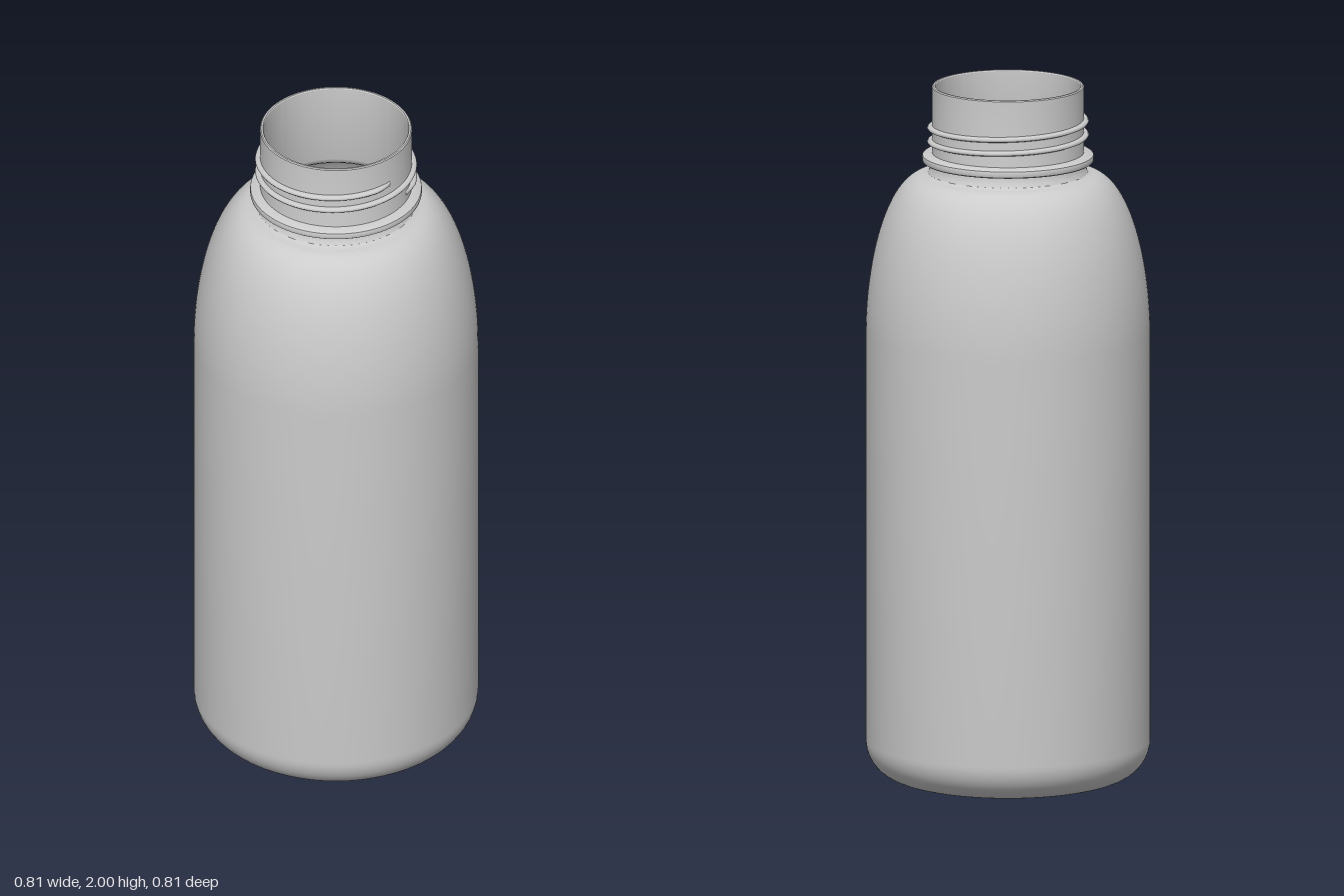
import * as THREE from 'three';
import { toCreasedNormals } from 'three/addons/utils/BufferGeometryUtils.js';

const V = (x, y) => new THREE.Vector2(x, y);
const material = new THREE.MeshStandardMaterial({ color: 0xcccccc });

// Spin a profile (listed upwards on the outside) around the y axis
function lathe(name, points) {
  const geometry = toCreasedNormals(new THREE.LatheGeometry(points, 128), 0.5);
  const mesh = new THREE.Mesh(geometry, material);
  mesh.name = name;
  return mesh;
}

// Bottle side from base centre to shoulder, moved inwards by the wall thickness t
function sideProfile(t) {
  const R = 0.403 - t, corner = 0.11 - t, points = [];
  // shallow dome under the base
  for (let i = 0; i <= 10; i++) {
    const x = 0.293 * i / 10;
    points.push(V(x, t + 0.015 * (0.5 + 0.5 * Math.cos(Math.PI * i / 10))));
  }
  // rounded heel
  for (let i = 1; i <= 14; i++) {
    const a = (Math.PI / 2) * i / 14;
    points.push(V(R - corner + corner * Math.sin(a), t + corner - corner * Math.cos(a)));
  }
  // straight wall, then the domed shoulder
  const shoulder = new THREE.CubicBezierCurve(
    V(R, 1.28), V(R, 1.5), V(0.34 - t, 1.745 - t), V(0.235 - t, 1.745 - t));
  return points.concat(shoulder.getPoints(32));
}

// Rising screw thread around the neck, with tapered ends
function thread() {
  const start = 0.18, turns = 1.94, pitch = 0.04, y0 = 1.834;
  const steps = 260, sides = 10, pos = [], index = [];
  for (let i = 0; i <= steps; i++) {
    const t = i / steps, a = start + t * turns * Math.PI * 2;
    const size = Math.min(1, 0.25 + Math.min(t, 1 - t) * 40);
    for (let j = 0; j < sides; j++) {
      const b = j / sides * Math.PI * 2;
      const r = 0.214 + 0.015 * size * Math.max(Math.cos(b), -0.3);
      pos.push(r * Math.cos(a), y0 + pitch * turns * t + 0.008 * Math.sin(b), -r * Math.sin(a));
      if (i < steps) {
        const k = i * sides, n = (j + 1) % sides;
        index.push(k + j, k + sides + j, k + n, k + n, k + sides + j, k + sides + n);
      }
    }
  }
  // end caps
  const last = steps * sides;
  for (let j = 1; j < sides - 1; j++) {
    index.push(0, j, j + 1, last, last + j + 1, last + j);
  }
  const geometry = new THREE.BufferGeometry();
  geometry.setAttribute('position', new THREE.Float32BufferAttribute(pos, 3));
  geometry.setIndex(index);
  geometry.computeVertexNormals();
  const mesh = new THREE.Mesh(geometry, material.clone());
  mesh.material.side = THREE.DoubleSide;
  mesh.name = 'screwThread';
  return mesh;
}

export function createModel() {
  const group = new THREE.Group();
  group.name = 'bottle';

  // hollow shell: outside up to the rim, then back down the inside
  const neckOutside = [
    V(0.226, 1.75), V(0.221, 1.758), V(0.218, 1.77), V(0.215, 1.785), V(0.215, 1.997), V(0.212, 2)];
  const neckInside = [V(0.207, 2), V(0.205, 1.997), V(0.205, 1.76), V(0.211, 1.745)];
  group.add(lathe('shell', [
    ...sideProfile(0), ...neckOutside, ...neckInside, ...sideProfile(0.011).reverse()]));

  // support ring under the thread
  group.add(lathe('neckRing', [
    V(0.213, 1.78), V(0.238, 1.78), V(0.242, 1.783), V(0.243, 1.787),
    V(0.243, 1.796), V(0.242, 1.8), V(0.238, 1.803), V(0.213, 1.807)]));

  group.add(thread());
  return group;
}
